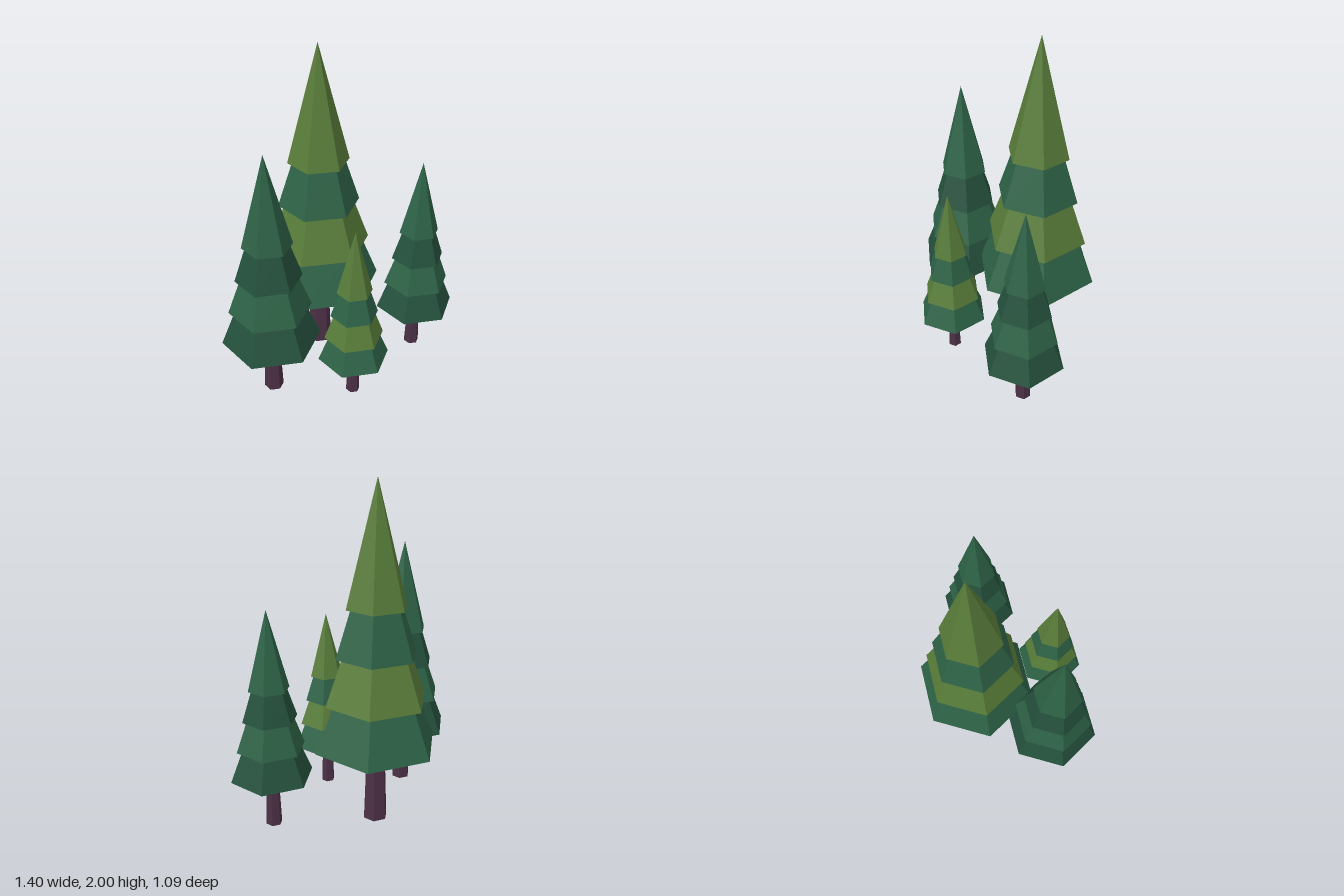
import * as THREE from 'three';

const mat = (name, color) => {
  const m = new THREE.MeshStandardMaterial({ color, flatShading: true });
  m.name = name;
  return m;
};

// Foliage tiers of a full-size tree, top to bottom: [base height, base radius]
const TIERS = [[1.3, 0.183], [1.025, 0.245], [0.752, 0.307], [0.477, 0.371]];
const TOP = 2;
const SIDES = 6;

function makeTree(name, [x, z], scale, trunkMat, tierMats) {
  const tree = new THREE.Group();
  tree.name = name;

  // Tapered trunk
  const trunkHeight = 0.5;
  const trunk = new THREE.Mesh(new THREE.CylinderGeometry(0.055, 0.073, trunkHeight, SIDES), trunkMat);
  trunk.name = 'trunk';
  trunk.position.y = trunkHeight / 2;
  tree.add(trunk);

  // Pointed crown, then flared tiers tucked under the one above
  TIERS.forEach(([base, radius], i) => {
    const top = i === 0 ? TOP : TIERS[i - 1][0];
    const topRadius = i === 0 ? 0 : TIERS[i - 1][1] * 0.85;
    const height = top - base;
    const geo = i === 0
      ? new THREE.ConeGeometry(radius, height, SIDES)
      : new THREE.CylinderGeometry(topRadius, radius, height, SIDES);
    const tier = new THREE.Mesh(geo, tierMats[i % 2]);
    tier.name = i === 0 ? 'crown' : `foliageTier${i + 1}`;
    tier.position.y = base + height / 2;
    tree.add(tier);
  });

  tree.scale.setScalar(scale);
  tree.position.set(x, 0, z);
  return tree;
}

export function createModel() {
  const bark = mat('bark', 0x4c3046);
  const olive = mat('olive needles', 0x587c39);
  const green = mat('green needles', 0x2d6246);
  const dark = mat('dark green needles', 0x24503c);

  const model = new THREE.Group();
  model.name = 'pineGrove';
  model.add(
    makeTree('tallTree', [0.062, -0.174], 1, bark, [olive, green]),
    makeTree('rightTree', [-0.449, -0.003], 0.783, bark, [green, dark]),
    makeTree('leftTree', [0.489, 0.252], 0.653, bark, [green, dark]),
    makeTree('smallTree', [-0.108, 0.337], 0.565, bark, [olive, green]),
  );
  return model;
}
